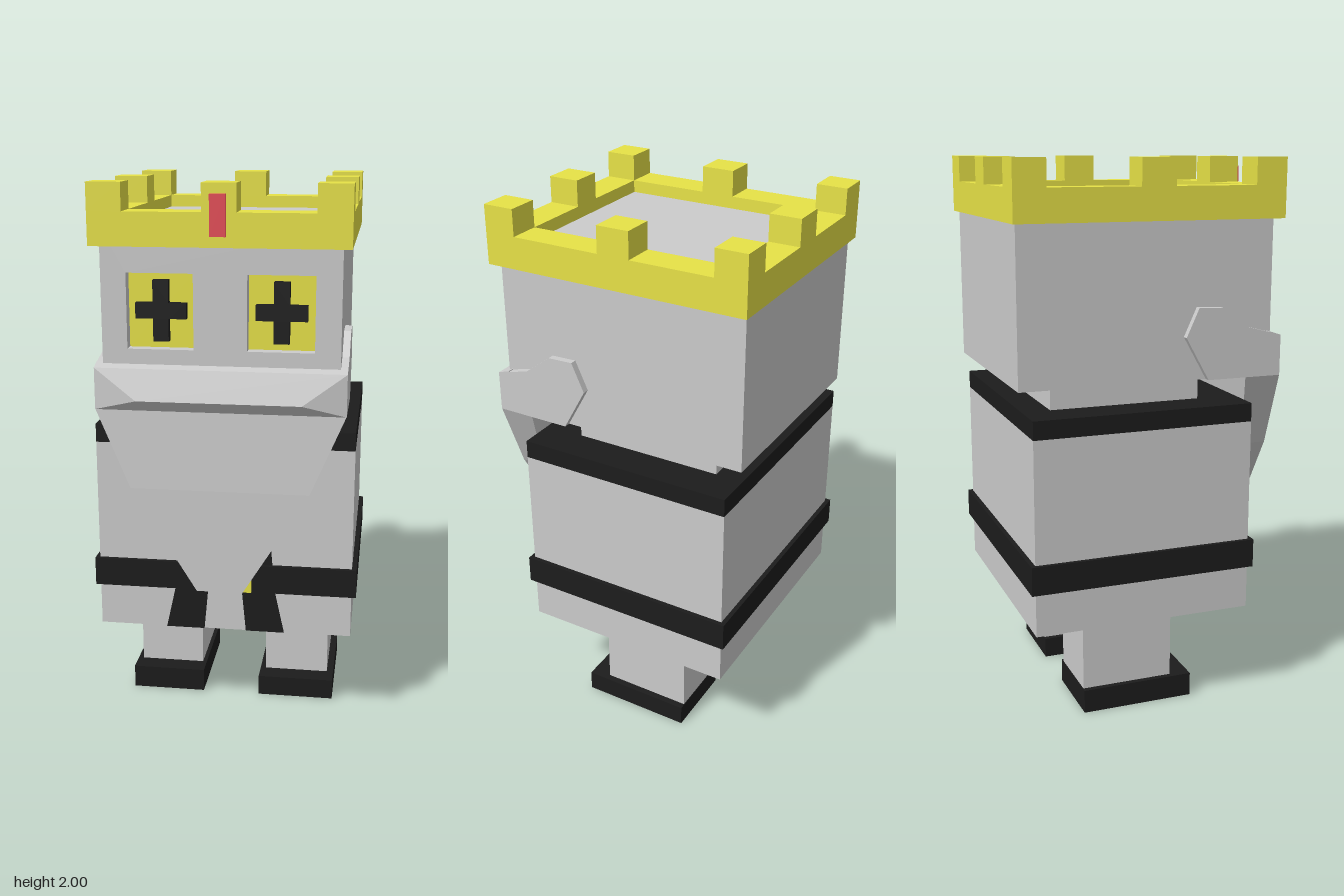
import * as THREE from 'three';
import { ConvexGeometry } from 'three/addons/geometries/ConvexGeometry.js';

const material = (color) => new THREE.MeshStandardMaterial({ color, flatShading: true });

export function createModel() {
  const model = new THREE.Group();
  const grey = material(0xcccccc);
  const gold = material(0xe7e247);
  const black = material(0x1c1c1c);
  const red = material(0xe54b55);

  const add = (name, geometry, mat) => {
    const mesh = new THREE.Mesh(geometry, mat);
    mesh.name = name;
    model.add(mesh);
    return mesh;
  };
  // Box given by its bounds on each axis
  const box = (name, mat, [x0, x1], [y0, y1], [z0, z1]) =>
    add(name, new THREE.BoxGeometry(x1 - x0, y1 - y0, z1 - z0), mat)
      .position.set((x0 + x1) / 2, (y0 + y1) / 2, (z0 + z1) / 2);
  const outline = (pts) => new THREE.Shape(pts.map(([x, y]) => new THREE.Vector2(x, y)));
  const rect = (x0, x1, y0, y1) => outline([[x0, y0], [x1, y0], [x1, y1], [x0, y1]]);
  // Plate in the xy plane, from z0 to z1
  const plate = (name, mat, shape, z0, z1) =>
    add(name, new THREE.ExtrudeGeometry(shape, { depth: z1 - z0, bevelEnabled: false }).translate(0, 0, z0), mat);
  const hull = (name, mat, pts) =>
    add(name, new ConvexGeometry(pts.map((p) => new THREE.Vector3(...p))), mat);

  // Legs and feet
  box('rightLeg', grey, [-0.375, -0.13], [0.08, 0.365], [-0.26, 0.085]);
  box('leftLeg', grey, [0.125, 0.37], [0.07, 0.365], [-0.26, 0.085]);
  box('rightFoot', black, [-0.395, -0.115], [0, 0.088], [-0.262, 0.16]);
  box('leftFoot', black, [0.105, 0.395], [0, 0.078], [-0.262, 0.16]);

  // Body, collar, belt and neck
  box('body', grey, [-0.47, 0.465], [0.365, 1.075], [-0.463, 0.35]);
  box('collar', black, [-0.47, 0.465], [1.075, 1.142], [-0.463, 0.35]);
  box('belt', black, [-0.485, 0.482], [0.525, 0.63], [-0.48, 0.366]);
  box('neck', grey, [-0.33, 0.33], [1.14, 1.24], [-0.36, 0.2]);

  // Buckle frame over the belt
  const buckle = rect(-0.1, 0.1, 0.527, 0.628);
  buckle.holes.push(rect(-0.06, 0.06, 0.555, 0.6));
  plate('buckle', gold, buckle, 0.364, 0.376);

  // Coat edging down the front, one strip per side
  for (const s of [-1, 1]) {
    plate(s > 0 ? 'leftCoatEdge' : 'rightCoatEdge', black, outline([
      [0.078, 0.365], [0.22, 0.365], [0.185, 0.525], [0.168, 0.71], [0.155, 1.08], [0.06, 1.08], [0.063, 0.525],
    ].map(([x, y]) => [s * x, y])), 0.345, 0.354);
  }

  // Head with recessed eye sockets
  box('head', grey, [-0.41, 0.41], [1.23, 1.86], [-0.495, 0.395]);
  const face = rect(-0.41, 0.41, 1.23, 1.86);
  const eyeX = 0.207, eyeY = 1.57;
  for (const s of [-1, 1]) {
    const x = s * eyeX, side = s > 0 ? 'left' : 'right';
    face.holes.push(rect(x - 0.115, x + 0.115, eyeY - 0.13, eyeY + 0.13));
    box(side + 'Eye', gold, [x - 0.115, x + 0.115], [eyeY - 0.13, eyeY + 0.13], [0.38, 0.402]);
    const a = 0.027, w = 0.088, h = 0.105;
    plate(side + 'Pupil', black, outline([
      [-a, -h], [a, -h], [a, -a], [w, -a], [w, a], [a, a], [a, h], [-a, h], [-a, a], [-w, a], [-w, -a], [-a, -a],
    ].map(([px, py]) => [x + px, eyeY + py])), 0.4, 0.43);
  }
  plate('face', grey, face, 0.395, 0.445);

  // Moustache: a hipped wedge across the face
  hull('moustache', grey, [-1, 1].flatMap((s) => [
    [s * 0.435, 1.23, 0.43], [s * 0.435, 1.392, 0.43],
    [s * 0.435, 1.377, 0.476], [s * 0.435, 1.23, 0.476], [s * 0.285, 1.27, 0.508],
  ]));

  // Sideburns along the cheeks, drawn as (z, y) profiles
  for (const s of [-1, 1]) {
    const shape = outline([
      [-0.475, 1.23], [-0.195, 1.23], [-0.108, 1.385], [-0.155, 1.488], [-0.25, 1.485], [-0.35, 1.41], [-0.475, 1.377],
    ]);
    const geometry = new THREE.ExtrudeGeometry(shape, { depth: 0.03, bevelEnabled: false });
    geometry.rotateY(Math.PI / 2).translate(s > 0 ? 0.405 : -0.435, 0, 0);
    add(s > 0 ? 'leftSideburn' : 'rightSideburn', geometry, grey);
  }

  // Beard: tapering cross-sections [half width, y, back z, front z]
  const rows = [[0.435, 1.232, 0.34, 0.476], [0.315, 0.95, 0.39, 0.487], [0.082, 0.573, 0.39, 0.487]];
  const corners = ([w, y, z0, z1]) => [[-w, y, z0], [w, y, z0], [w, y, z1], [-w, y, z1]];
  const pos = [], quad = (a, b, c, d) => pos.push(...a, ...b, ...c, ...a, ...c, ...d);
  const rings = rows.map(corners);
  for (let r = 0; r < 2; r++) {
    for (let i = 0; i < 4; i++) {
      const j = (i + 1) % 4;
      quad(rings[r][i], rings[r][j], rings[r + 1][j], rings[r + 1][i]);
    }
  }
  quad(rings[0][3], rings[0][2], rings[0][1], rings[0][0]);
  quad(...rings[2]);
  const beard = new THREE.BufferGeometry();
  beard.setAttribute('position', new THREE.Float32BufferAttribute(pos, 3));
  beard.computeVertexNormals();
  add('beard', beard, grey);

  // Crown: a square ring, drawn flat and stood up
  const ring = rect(-0.443, 0.44, -0.475, 0.51);
  ring.holes.push(rect(-0.325, 0.323, -0.36, 0.395));
  const crown = new THREE.ExtrudeGeometry(ring, { depth: 0.115, bevelEnabled: false });
  add('crown', crown.rotateX(-Math.PI / 2).translate(0, 1.79, 0), gold);

  // Battlements at the corners and the middle of each side
  const top = [1.905, 2];
  const west = [-0.443, -0.325], east = [0.323, 0.44], front = [0.36, 0.475], back = [-0.51, -0.395];
  for (const [x, z] of [
    [west, front], [east, front], [west, back], [east, back],
    [[-0.057, 0.06], front], [[-0.065, 0.06], back], [west, [-0.065, 0.06]], [east, [-0.09, 0.03]],
  ]) box('battlement', gold, x, top, z);

  box('gem', red, [-0.028, 0.026], [1.827, 1.965], [0.465, 0.493]);
  return model;
}
